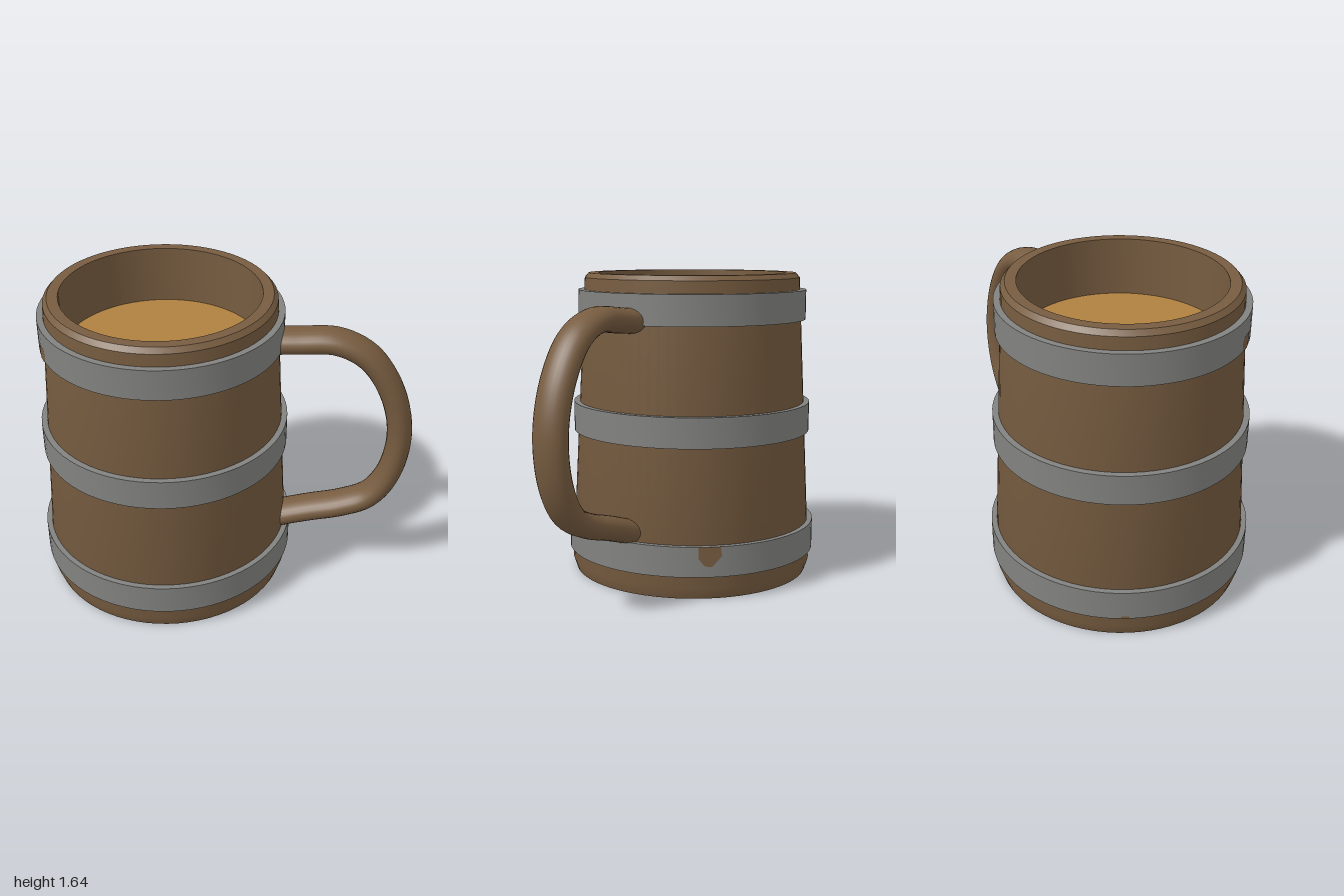
import * as THREE from 'three';
import { toCreasedNormals } from 'three/addons/utils/BufferGeometryUtils.js';

const AXIS_X = -0.313;

export function createModel() {
  const wood = new THREE.MeshStandardMaterial({ color: 0x775c40 });
  const metal = new THREE.MeshStandardMaterial({ color: 0x828280 });
  const ale = new THREE.MeshStandardMaterial({ color: 0xb08040 });
  wood.name = 'wood';
  metal.name = 'metal';
  ale.name = 'ale';

  const model = new THREE.Group();
  model.name = 'tankard';
  const barrel = new THREE.Group();
  barrel.name = 'barrel';
  barrel.position.x = AXIS_X;
  model.add(barrel);

  const add = (parent, name, geometry, material) => {
    const mesh = new THREE.Mesh(geometry, material);
    mesh.name = name;
    parent.add(mesh);
    return mesh;
  };
  const turned = (points) => toCreasedNormals(
    new THREE.LatheGeometry(points.map(([r, y]) => new THREE.Vector2(r, y)), 72), 0.4);

  // Tapered cup with chamfered foot and rim, hollow inside
  add(barrel, 'cup', turned([
    [0, 0], [0.648, 0], [0.668, 0.06], [0.587, 1.62], [0.565, 1.645],
    [0.51, 1.645], [0.51, 1.3], [0, 1.3],
  ]), wood);

  // Drink surface
  const drink = add(barrel, 'drink', new THREE.CircleGeometry(0.512, 72), ale);
  drink.rotation.x = -Math.PI / 2;
  drink.position.y = 1.34;

  // Three straight hoops
  const hoops = [['bottomHoop', 0.125, 0.685], ['middleHoop', 0.785, 0.653], ['topHoop', 1.395, 0.623]];
  for (const [name, y, r] of hoops) {
    const inner = r - 0.05;
    add(barrel, name, turned([
      [inner, y], [r, y], [r, y + 0.16], [inner, y + 0.16], [inner, y],
    ]), metal);
  }

  // Worn chips: flat outlines (width, height) wrapped round a hoop
  const chip = (name, radius, degrees, y, outline) => {
    const geometry = new THREE.ShapeGeometry(
      new THREE.Shape(outline.map(([u, v]) => new THREE.Vector2(u, v))));
    const p = geometry.attributes.position;
    const r = radius + 0.003;
    for (let i = 0; i < p.count; i++) {
      const a = THREE.MathUtils.degToRad(degrees) - p.getX(i) / r;
      p.setXYZ(i, r * Math.cos(a), y + p.getY(i), r * Math.sin(a));
    }
    geometry.computeVertexNormals();
    add(barrel, name, geometry, wood);
  };
  chip('topChip', 0.623, 147.8, 1.395,
    [[-0.025, 0], [0.025, 0], [0.045, 0.03], [0.035, 0.075], [-0.03, 0.075], [-0.045, 0.04]]);
  chip('sideChip', 0.685, -40, 0.285,
    [[-0.06, 0], [-0.06, -0.06], [-0.03, -0.1], [0.01, -0.105], [0.06, -0.05], [0.055, 0]]);
  chip('backChip', 0.685, -148, 0.125,
    [[-0.02, 0], [0.02, 0], [0.022, 0.015], [-0.018, 0.018]]);

  // Curved handle with an oval section, ends buried in the cup wall
  const path = new THREE.CatmullRomCurve3([
    [0.22, 1.41], [0.38, 1.425], [0.58, 1.435], [0.74, 1.36], [0.87, 1.17], [0.93, 0.92],
    [0.895, 0.67], [0.80, 0.51], [0.66, 0.435], [0.48, 0.38], [0.27, 0.31],
  ].map(([x, y]) => new THREE.Vector3(x, y, 0)));
  const handle = new THREE.TubeGeometry(path, 64, 0.065, 24);
  handle.scale(1, 1, 0.095 / 0.065);
  add(model, 'handle', handle, wood);

  return model;
}
